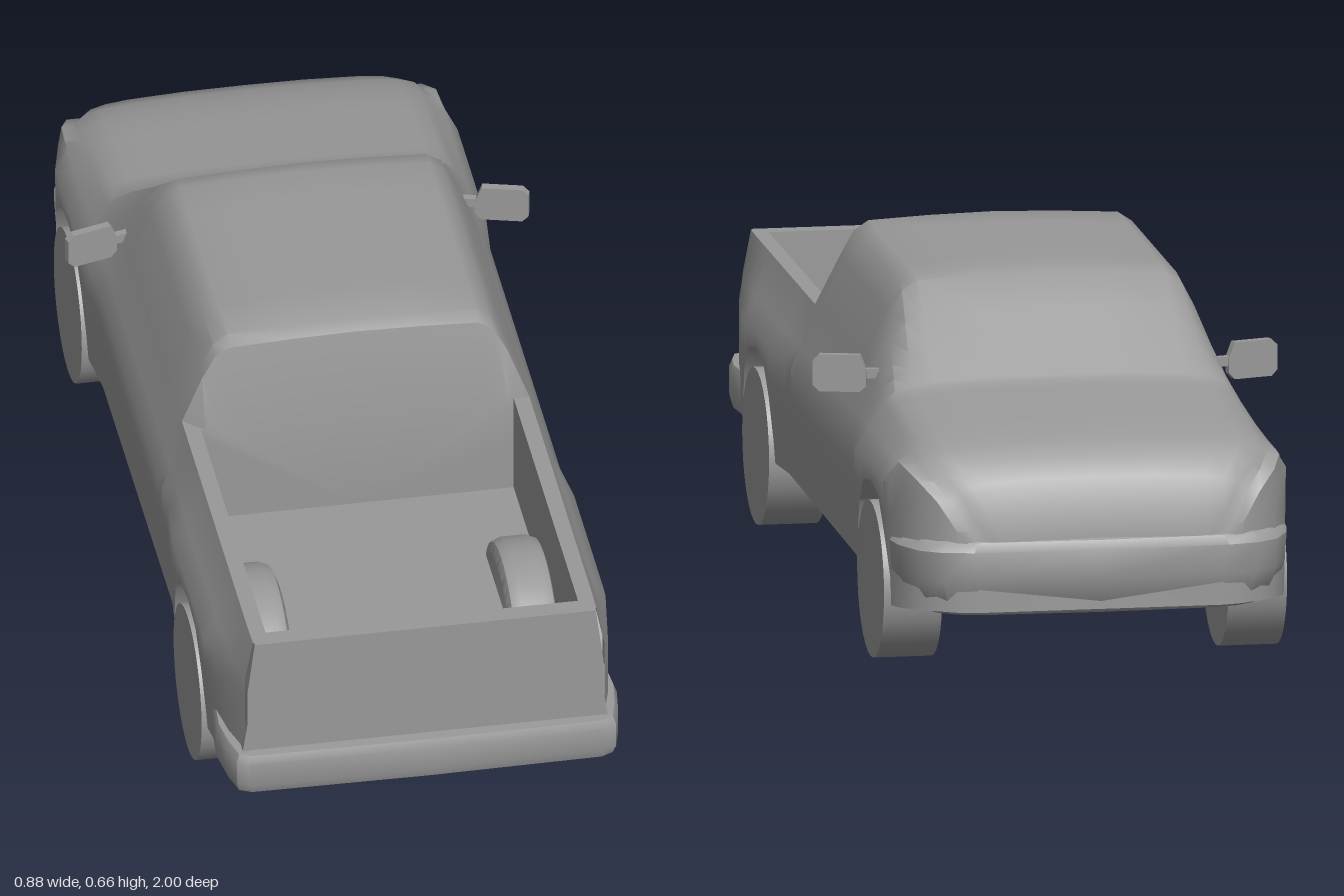
import * as THREE from 'three';
import { toCreasedNormals } from 'three/addons/utils/BufferGeometryUtils.js';

// Piecewise linear lookup in [[key, value], ...]
function table(rows, t) {
  if (t <= rows[0][0]) return rows[0][1];
  for (let i = 1; i < rows.length; i++) {
    const [a, va] = rows[i - 1], [b, vb] = rows[i];
    if (t <= b) return va + (vb - va) * (t - a) / (b - a);
  }
  return rows[rows.length - 1][1];
}

// Skin through equal-length sections of [x, y, z]; optional fan caps
function loft(sections, capFirst, capLast) {
  const n = sections[0].length, pos = sections.flat(2), index = [];
  for (let s = 0; s < sections.length - 1; s++) {
    for (let i = 0; i < n - 1; i++) {
      const a = s * n + i, b = a + 1, c = a + n, d = c + 1;
      index.push(a, b, c, b, d, c);
    }
  }
  const cap = (s, centre, flip) => {
    const c = pos.length / 3;
    pos.push(...centre);
    for (let i = 0; i < n - 1; i++) {
      const a = s * n + i;
      index.push(...(flip ? [c, a, a + 1] : [c, a + 1, a]));
    }
  };
  if (capFirst) cap(0, capFirst, false);
  if (capLast) cap(sections.length - 1, capLast, true);
  const g = new THREE.BufferGeometry();
  g.setAttribute('position', new THREE.Float32BufferAttribute(pos, 3));
  g.setIndex(index);
  return toCreasedNormals(g, 0.6);
}

const mirrored = (half) => [...half, ...half.slice(0, -1).reverse().map(([x, y, z]) => [-x, y, z])];

const AXLES = [-0.666, 0.59], WHEEL_R = 0.147, BELT = 0.48, BED_FLOOR = 0.28;
const ARCH = [[0, 0.333], [0.08, 0.32], [0.135, 0.265], [0.165, 0.19], [0.168, 0.15], [0.1685, 0]];
const SILL = [[-0.95, 0.14], [-0.82, 0.128], [-0.5, 0.138], [0.42, 0.147], [0.75, 0.155], [0.93, 0.165]];
const SIDE = [[0.12, 0.36], [0.24, 0.368], [0.36, 0.37], [0.4, 0.352], [0.48, 0.325]];
const PLAN = [[-0.985, 0.23], [-0.975, 0.27], [-0.955, 0.305], [-0.93, 0.335], [-0.88, 0.36], [-0.8, 0.38],
  [0.75, 0.38], [0.9, 0.358], [0.97, 0.338]];
const HOOD = [[-0.985, 0.28], [-0.975, 0.33], [-0.955, 0.385], [-0.93, 0.418], [-0.88, 0.441], [-0.8, 0.458], [-0.54, 0.487]];
const archStations = (c) => ARCH.flatMap(([d]) => [c - d, c + d]);

// Half section of the lower body, from the belly up to just under the belt
function lowerHalf(z, top) {
  const dz = Math.min(...AXLES.map((a) => Math.abs(z - a)));
  const sill = table(SILL, z), y0 = Math.max(sill, table(ARCH, dz));
  const flare = table([[0.17, 0.01], [0.26, 0]], dz);
  const side = (y) => {
    const yy = Math.min(Math.max(y, y0), top);
    const bulge = flare * table([[0.36, 1], [0.42, 0]], yy);
    return [Math.min(table(SIDE, yy) + bulge, table(PLAN, z)), yy, z];
  };
  const inner = Math.min(0.25, table(PLAN, z) * 0.8);
  return [[0, sill, z], [inner, sill, z], [inner, Math.min(y0, top), z], ...[0, 0.24, 0.3, 0.36, 0.4].map(side)];
}

// Hood, windscreen and cab above the belt
const CAB = [[0.325, 0.48], [0.287, 0.58], [0.262, 0.63], [0.235, 0.648], [0.12, 0.654], [0, 0.657]];
const HOOD_EDGE = [[0.33, -0.037], [0.312, -0.02], [0.28, -0.011], [0.235, -0.006], [0.12, -0.001], [0, 0]];
function cabSection(z) {
  const k = table([[-0.54, 0], [-0.33, 0.95], [-0.29, 1]], z);
  const drop = table([[0.2, 0], [0.225, 0.08], [0.26, 1]], z);
  const hood = table(HOOD, z), narrow = Math.min(1, table(PLAN, z) / 0.36);
  const upper = CAB.map(([cx, cy], i) => {
    const [hx, hy] = HOOD_EDGE[i];
    const y = THREE.MathUtils.lerp(hood + hy, cy, k);
    return [THREE.MathUtils.lerp(hx * narrow, cx, k), THREE.MathUtils.lerp(y, BELT, drop), z];
  });
  return mirrored([...lowerHalf(z, upper[0][1]), ...upper]);
}

// Open load bed with a flat rail
function bedSection(z) {
  const rail = Math.min(0.325, table(PLAN, z) * 0.955);
  return mirrored([...lowerHalf(z, BELT), [rail, BELT, z], [0.295, BELT, z], [0.295, BED_FLOOR, z], [0, BED_FLOOR, z]]);
}

// Bumper: a profile of [scale, y] swept along a mirrored plan path of [x, z]
function bumper(path, profile, zRef) {
  const full = [...path, ...path.slice(0, -1).reverse().map(([x, z]) => [-x, z])];
  return loft(full.map(([x, z]) => profile.map(([s, y]) => [x * s, y, zRef + (z - zRef) * s])));
}

export function createModel() {
  const truck = new THREE.Group();
  truck.name = 'pickupTruck';
  const grey = new THREE.MeshStandardMaterial({ color: 0x999999, side: THREE.DoubleSide });
  grey.name = 'grey';
  const add = (name, geometry, parent = truck) => {
    const mesh = new THREE.Mesh(geometry, grey);
    mesh.name = name;
    parent.add(mesh);
    return mesh;
  };
  const sorted = (list) => [...new Set(list)].sort((a, b) => a - b);

  // Body shells
  const cabZ = sorted([-0.985, -0.975, -0.955, -0.93, -0.88, ...archStations(AXLES[0]),
    -0.54, -0.46, -0.4, -0.33, -0.29, -0.2, 0, 0.1, 0.2, 0.225, 0.26]);
  add('cabAndHood', loft(cabZ.map(cabSection), [0, 0.21, -0.985], [0, 0.28, 0.26]));
  const bedZ = sorted([0.26, 0.33, ...archStations(AXLES[1]), 0.82, 0.9, 0.965]);
  add('loadBed', loft(bedZ.map(bedSection)));

  // Tailgate
  const gateHalf = [[0.345, 0.165], [0.345, 0.24], [0.336, 0.3], [0.336, 0.37], [0.322, 0.48]];
  const gate = new THREE.Shape([...gateHalf, ...gateHalf.slice().reverse().map(([x, y]) => [-x, y])]
    .map(([x, y]) => new THREE.Vector2(x, y)));
  add('tailgate', new THREE.ExtrudeGeometry(gate, { depth: 0.037, bevelEnabled: false }).translate(0, 0, 0.935));

  // Bumpers
  add('frontBumper', bumper([[0.374, -0.84], [0.366, -0.89], [0.338, -0.95], [0.3, -0.978], [0.24, -0.992], [0, -1]],
    [[0.9, 0.283], [0.97, 0.272], [1, 0.255], [0.99, 0.2], [0.95, 0.155], [0.88, 0.13], [0, 0.124]], -0.7));
  add('rearBumper', bumper([[0.372, 0.8], [0.378, 0.88], [0.37, 0.94], [0.358, 0.985], [0.335, 0.996], [0, 1]],
    [[0.9, 0.245], [0.985, 0.243], [1, 0.228], [1, 0.18], [0.985, 0.162], [0.88, 0.157], [0.5, 0.157]], 0.6));

  // Wheel housing outline, standing on the bed floor
  const a = 0.6;
  const housing = new THREE.Shape();
  housing.absarc(0, 0.17, 0.165, a, Math.PI - a, false);
  housing.closePath();

  for (const side of [1, -1]) {
    const label = side > 0 ? 'left' : 'right';

    // Wheels
    for (const z of AXLES) {
      const wheel = add(`${label}${z < 0 ? 'Nose' : 'Tail'}Wheel`, new THREE.CylinderGeometry(WHEEL_R, WHEEL_R, 0.11, 32));
      wheel.rotation.z = Math.PI / 2;
      wheel.position.set(side * 0.325, WHEEL_R, z);
    }

    // Wheel housing inside the bed
    const well = new THREE.ExtrudeGeometry(housing, {
      depth: 0.045, bevelSize: 0.025, bevelThickness: 0.025, bevelSegments: 2, curveSegments: 12,
    });
    well.rotateY(Math.PI / 2);
    add(`${label}WheelHousing`, toCreasedNormals(well, 0.7))
      .position.set(side > 0 ? 0.23 : -0.275, 0, AXLES[1]);

    // Door mirror on a short stalk
    const mirror = new THREE.Group();
    mirror.name = `${label}Mirror`;
    const c = 0.012, w = 0.1, h = 0.07;
    const plate = new THREE.Shape([[c, 0], [w - c, 0], [w, c], [w, h - c], [w - c, h], [c, h], [0, h - c * 2.5], [0, c]]
      .map(([x, y]) => new THREE.Vector2(x, y)));
    const head = add('mirrorHead', new THREE.ExtrudeGeometry(plate, { depth: 0.016, bevelEnabled: false }), mirror);
    head.position.set(0.342, 0.445, -0.398);
    head.rotation.y = -0.27;
    const stalk = add('mirrorStalk', new THREE.BoxGeometry(0.05, 0.018, 0.014), mirror);
    stalk.position.set(0.328, 0.48, -0.393);
    stalk.rotation.y = -0.27;
    mirror.scale.x = side;
    truck.add(mirror);
  }
  return truck;
}
